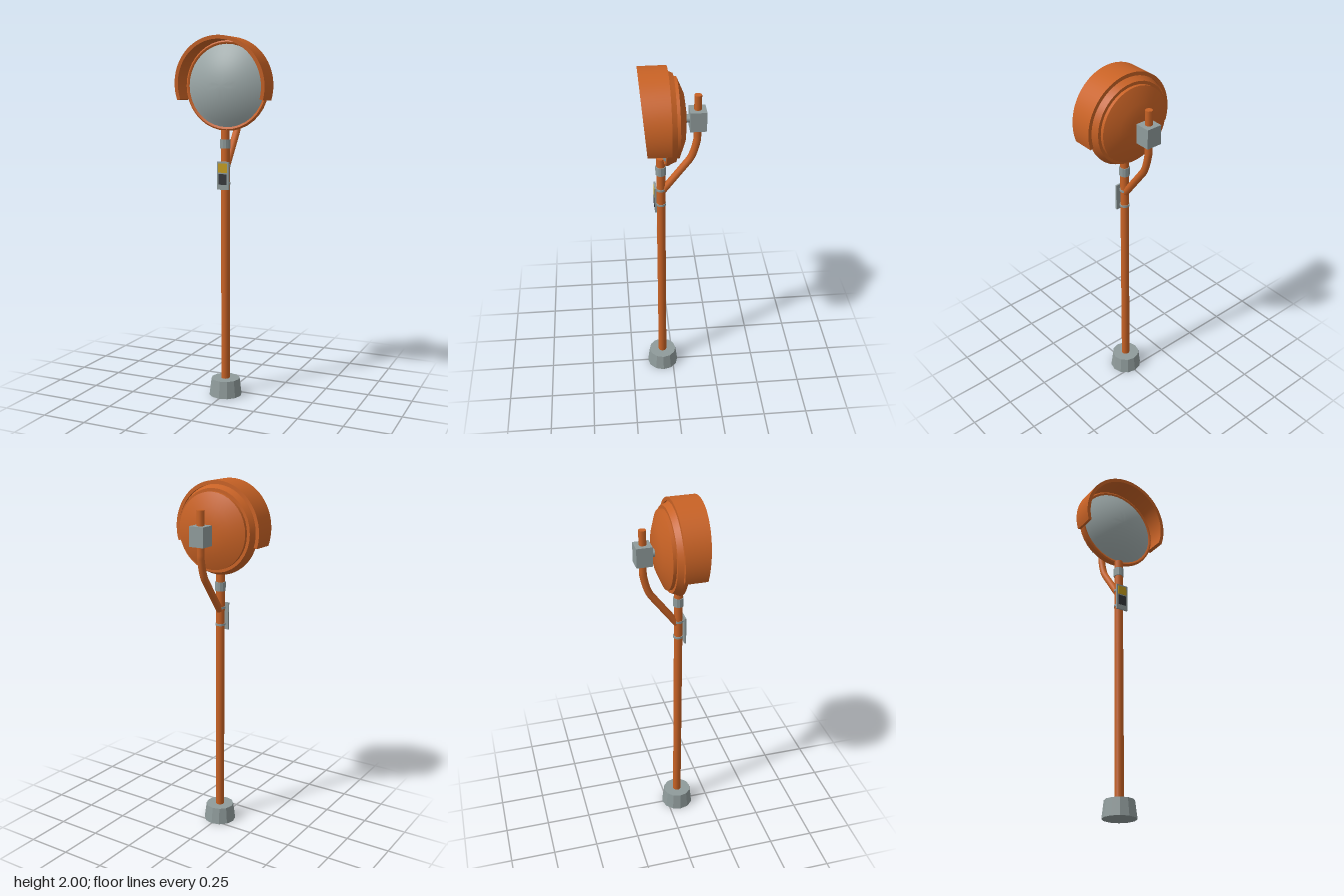
import * as THREE from 'three';
import { toCreasedNormals } from 'three/addons/utils/BufferGeometryUtils.js';

const POLE_Z = 0.062;
const HEAD_Y = 1.738;

export function createModel() {
  const model = new THREE.Group();
  model.name = 'roadMirror';
  const paint = (name, color, side = THREE.FrontSide) => {
    const m = new THREE.MeshStandardMaterial({ color, side });
    m.name = name;
    return m;
  };
  const orange = paint('orange', 0xc86225);
  const metal = paint('grey metal', 0x8f9b9b);
  const glass = paint('mirror grey', 0x9ca8a8);
  const yellow = paint('yellow', 0xc29a1c);
  const dark = paint('dark grey', 0x33363a);

  const add = (name, geometry, material, x = 0, y = 0, z = 0) => {
    const mesh = new THREE.Mesh(geometry, material);
    mesh.name = name;
    mesh.position.set(x, y, z);
    model.add(mesh);
    return mesh;
  };
  const cylinder = (rTop, rBottom, h, sides) =>
    toCreasedNormals(new THREE.CylinderGeometry(rTop, rBottom, h, sides), 0.7);
  // Lathe turned to face the front; points are [radius, z] from back to front
  const turned = (points, crease) => toCreasedNormals(
    new THREE.LatheGeometry(points.map(p => new THREE.Vector2(...p)), 36).rotateX(Math.PI / 2), crease);

  // Footing and pole
  add('footing', toCreasedNormals(new THREE.CylinderGeometry(0.08, 0.092, 0.096, 12), 0.2), metal, 0, 0.048, POLE_Z);
  add('pole', cylinder(0.024, 0.024, 1.41, 12), orange, 0, 0.795, POLE_Z);
  add('poleCollar', toCreasedNormals(new THREE.CylinderGeometry(0.029, 0.029, 0.05, 12), 0.2), metal, 0, 1.425, POLE_Z);

  // Mirror head: rear shell, rim and convex mirror
  add('rearShell', turned([[0, -0.07], [0.06, -0.067], [0.128, -0.058], [0.208, -0.025], [0.208, -0.005]], 0.6),
    orange, 0, HEAD_Y, 0);
  add('rim', turned([[0.19, -0.007], [0.225, -0.007], [0.237, 0.022], [0.244, 0.035], [0.243, 0.045],
    [0.235, 0.05], [0.222, 0.046], [0.218, 0.04]], 0.8), orange, 0, HEAD_Y, 0);
  const dome = [];
  for (let i = 0; i <= 8; i++) {
    const r = 0.224 * (1 - i / 8);
    dome.push([r, 0.12 - r * r / 0.68]);
  }
  add('mirror', turned(dome, 1), glass, 0, HEAD_Y, 0);

  // Hood: open ring whose front edge reaches furthest at the top
  const a = 0.3;
  const arc = new THREE.Shape();
  arc.absarc(0, 0, 0.263, -a, Math.PI + a, false);
  arc.absarc(0, 0, 0.243, Math.PI + a, -a, true);
  const hood = new THREE.ExtrudeGeometry(arc, { depth: 1, bevelEnabled: false, curveSegments: 30 });
  const p = hood.attributes.position;
  for (let i = 0; i < p.count; i++) {
    p.setZ(i, p.getZ(i) > 0.5 ? 0.15 + p.getY(i) * 0.084 : 0.022);
  }
  add('hood', toCreasedNormals(hood, 0.6), orange, 0, HEAD_Y, 0);

  // Rear bracket
  add('bracketStub', cylinder(0.022, 0.022, 0.04, 12).rotateX(Math.PI / 2), metal, 0, 1.73, -0.078);
  add('bracketBox', new THREE.BoxGeometry(0.088, 0.108, 0.086), metal, 0, 1.727, -0.13);

  // Bent support arm with a capped upper end
  const bend = new THREE.CurvePath();
  const v = (y, z) => new THREE.Vector3(0, y, z);
  bend.add(new THREE.LineCurve3(v(1.29, 0.055), v(1.48, -0.087)));
  bend.add(new THREE.QuadraticBezierCurve3(v(1.48, -0.087), v(1.515, -0.113), v(1.61, -0.13)));
  bend.add(new THREE.LineCurve3(v(1.61, -0.13), v(1.862, -0.13)));
  add('supportArm', new THREE.TubeGeometry(bend, 32, 0.02, 10), orange);
  add('armCap', new THREE.CircleGeometry(0.02, 10).rotateX(-Math.PI / 2), orange, 0, 1.862, -0.13);

  // Sign plate with two panels, strapped to the pole
  add('signPlate', new THREE.BoxGeometry(0.07, 0.154, 0.01), metal, 0, 1.252, 0.093);
  add('yellowPanel', new THREE.BoxGeometry(0.052, 0.05, 0.004), yellow, 0, 1.294, 0.099);
  add('darkPanel', new THREE.BoxGeometry(0.046, 0.058, 0.004), dark, 0, 1.232, 0.099);
  for (const y of [1.208, 1.305]) {
    add('signStrap', cylinder(0.028, 0.028, 0.012, 12), metal, 0, y, POLE_Z);
  }
  return model;
}
